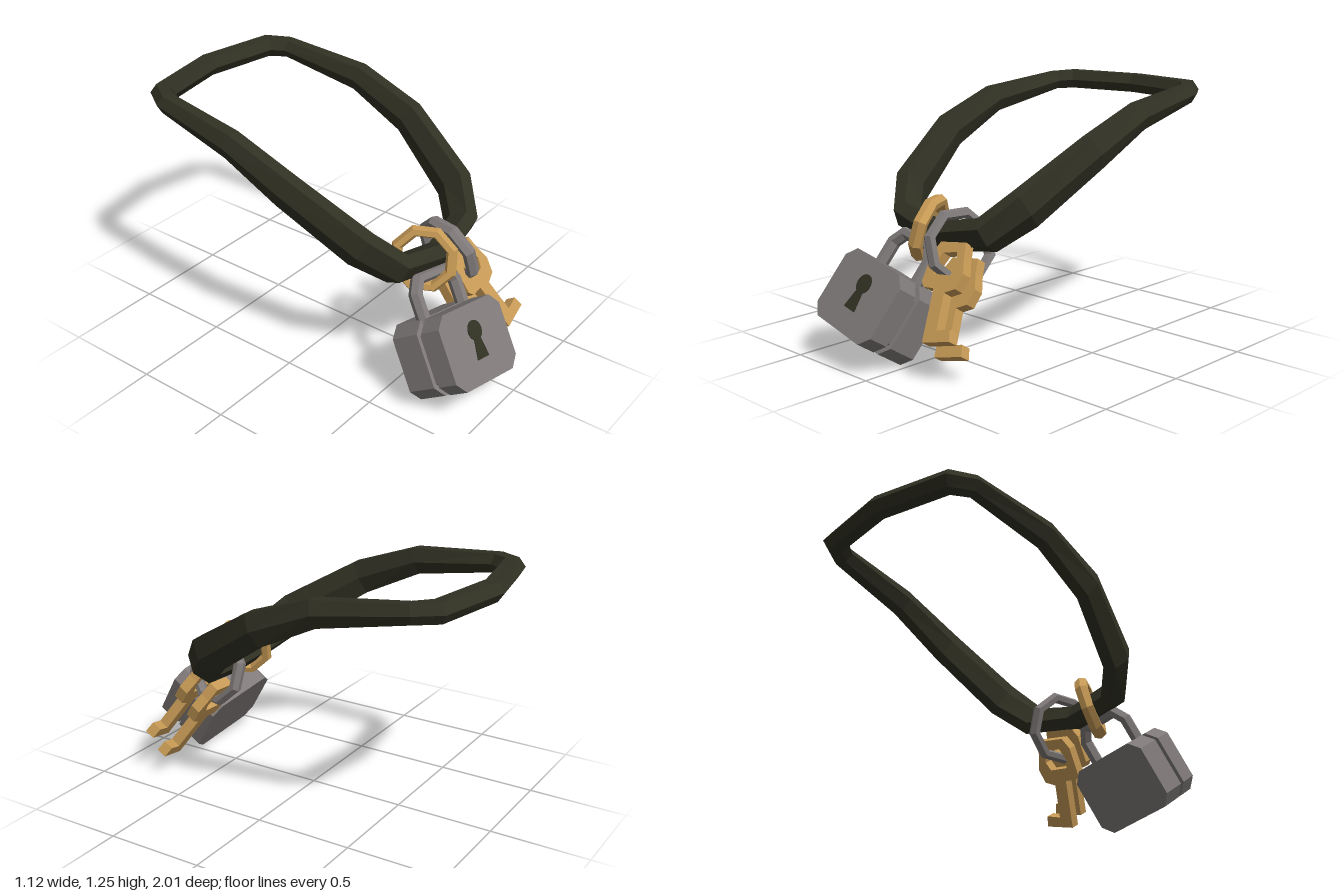
import * as THREE from 'three';

const cordMat = new THREE.MeshStandardMaterial({ color: 0x303023 });
cordMat.name = 'dark olive';
const steelMat = new THREE.MeshStandardMaterial({ color: 0x7f7a79 });
steelMat.name = 'steel grey';
const brassMat = new THREE.MeshStandardMaterial({ color: 0xc89b56 });
brassMat.name = 'brass';

const TILT = -0.58; // lean shared by the padlock and keys
const V = (x, y, z) => new THREE.Vector3(x, y, z);

function add(parent, name, geometry, material) {
  const mesh = new THREE.Mesh(geometry, material);
  mesh.name = name;
  parent.add(mesh);
  return mesh;
}

// Sweep a faceted hexagon along nodes {p, up, w, h}, mitred at every corner
function sweep(nodes, closed) {
  const n = nodes.length;
  const rings = nodes.map(({ p, up, w, h }, i) => {
    const prev = closed || i > 0 ? nodes[(i + n - 1) % n].p : null;
    const next = closed || i < n - 1 ? nodes[(i + 1) % n].p : null;
    const a = prev ? p.clone().sub(prev).normalize() : next.clone().sub(p).normalize();
    const b = next ? next.clone().sub(p).normalize() : a;
    const t = a.clone().add(b).normalize();
    const u = up.clone().addScaledVector(t, -up.dot(t)).normalize();
    const s = t.clone().cross(u).normalize();
    const mitre = 1 / Math.max(0.5, t.dot(a));
    return [[1, 0], [0.5, 1], [-0.5, 1], [-1, 0], [-0.5, -1], [0.5, -1]].map(([x, y]) =>
      p.clone().addScaledVector(s, x * w * mitre).addScaledVector(u, y * h));
  });
  const verts = [];
  for (let i = 0; i < (closed ? n : n - 1); i++) {
    const r = rings[i], q = rings[(i + 1) % n];
    for (let j = 0; j < 6; j++) {
      const k = (j + 1) % 6;
      verts.push(r[j], q[j], q[k], r[j], q[k], r[k]);
    }
  }
  const geo = new THREE.BufferGeometry().setFromPoints(verts);
  geo.computeVertexNormals();
  return geo;
}

// Eight-sided ring lying in the plane of two directions
function ringGeometry(c, u1, u2, radius, w, h) {
  u1.normalize();
  u2.addScaledVector(u1, -u2.dot(u1)).normalize();
  const up = u1.clone().cross(u2);
  const nodes = [];
  for (let i = 0; i < 8; i++) {
    const a = (i + 0.5) * Math.PI / 4;
    const p = c.clone().addScaledVector(u1, radius * Math.cos(a)).addScaledVector(u2, radius * Math.sin(a));
    nodes.push({ p, up, w, h });
  }
  return sweep(nodes, true);
}

const polygon = (pts, Type = THREE.Shape) => new Type(pts.map(([x, y]) => new THREE.Vector2(x, y)));

// Plate from a shape, between two local depths
function plate(shape, z0, z1) {
  return new THREE.ExtrudeGeometry(shape, { depth: z1 - z0, bevelEnabled: false, curveSegments: 8 })
    .translate(0, 0, z0);
}

function chamferedRect(w, h, c) {
  const x = w / 2, y = h / 2;
  return polygon([[x - c, -y], [x, -y + c], [x, y - c], [x - c, y], [-x + c, y], [-x, y - c], [-x, -y + c], [-x + c, -y]]);
}

function makeCord() {
  // x, y, z, section lean in degrees, half width, half height
  const half = [
    [0, 1.21, -0.935, 0, 0.062, 0.048],
    [0.39, 1.21, -0.865, 2, 0.06, 0.048],
    [0.455, 1.205, -0.77, 5, 0.055, 0.046],
    [0.495, 1.138, -0.32, 16, 0.062, 0.066],
    [0.49, 1.0, 0.005, 28, 0.062, 0.086],
    [0.39, 0.77, 0.36, 38, 0.065, 0.1],
    [0.27, 0.65, 0.485, 45, 0.065, 0.09],
    [0, 0.605, 0.52, 50, 0.065, 0.085],
  ];
  const mirrored = half.slice(1, -1).reverse().map(([x, ...rest]) => [-x, ...rest]);
  return sweep([...half, ...mirrored].map(([x, y, z, deg, w, h]) => {
    const a = THREE.MathUtils.degToRad(deg);
    return { p: V(x, y, z), up: V(0, Math.cos(a), Math.sin(a)), w, h };
  }), true);
}

function makePadlock() {
  const lock = new THREE.Group();
  lock.name = 'padlock';
  lock.position.set(-0.18, 0.275, 0.765);
  lock.rotation.set(TILT, 0, -0.19);

  // two plates with a groove between
  const outline = chamferedRect(0.46, 0.37, 0.055);
  add(lock, 'lockFrontPlate', plate(outline, 0.04, 0.15), steelMat);
  add(lock, 'lockBackPlate', plate(outline, -0.15, 0.01), steelMat);
  add(lock, 'lockCore', plate(chamferedRect(0.42, 0.33, 0.05), 0, 0.05), steelMat);

  // shackle
  const path = [[-0.145, 0.15], [-0.145, 0.3], [-0.1, 0.365], [0.1, 0.365], [0.145, 0.3], [0.145, 0.15]];
  add(lock, 'shackle', sweep(path.map(([x, y]) => ({ p: V(x, y, 0), up: V(0, 0, 1), w: 0.03, h: 0.032 })), false), steelMat);

  // keyhole: round top running into a flared slot
  const hole = new THREE.Shape();
  hole.absarc(0, 0.06, 0.048, -1.05, Math.PI + 1.05, false);
  hole.lineTo(-0.042, -0.075);
  hole.lineTo(0.042, -0.075);
  add(lock, 'keyhole', plate(hole, 0.148, 0.154), cordMat);
  return lock;
}

function keyGeometry() {
  // heights are foreshortened by the tilt, so stretch them back
  const flat = (pts) => pts.map(([x, y]) => [x, (y - 0.4) / Math.cos(TILT)]);
  const shape = polygon(flat([
    [0.06, 0.6], [0.035, 0.55], [0.045, 0.43], [0.07, 0.41], [0.135, 0.415],
    [0.205, 0.205], [0.36, 0.24], [0.335, 0.285], [0.26, 0.265], [0.21, 0.41],
    [0.265, 0.435], [0.275, 0.5], [0.24, 0.56], [0.215, 0.62],
  ]));
  shape.holes.push(polygon(flat([[0.1, 0.56], [0.185, 0.575], [0.215, 0.52], [0.2, 0.48], [0.1, 0.47], [0.08, 0.5]]), THREE.Path));
  return plate(shape, -0.055, 0);
}

export function createModel() {
  const model = new THREE.Group();
  model.name = 'lockAndKeysOnCord';

  add(model, 'cord', makeCord(), cordMat);
  model.add(makePadlock());

  // rings hanging from the cord
  add(model, 'lockRing', ringGeometry(V(-0.095, 0.63, 0.515), V(0.42, 0, 0.9), V(0.25, 0.97, -0.1), 0.142, 0.027, 0.032), brassMat);
  add(model, 'keyRing', ringGeometry(V(0.12, 0.575, 0.515), V(-0.2, 0, 0.98), V(-0.3, 0.95, 0), 0.165, 0.026, 0.03), steelMat);

  // pair of matching keys, one behind the other
  const keys = new THREE.Group();
  keys.name = 'keys';
  keys.position.set(0, 0.4, 0.71);
  keys.rotation.x = TILT;
  const geo = keyGeometry();
  add(keys, 'frontKey', geo, brassMat);
  add(keys, 'backKey', geo, brassMat).position.set(0, -0.035, -0.11);
  model.add(keys);
  return model;
}
